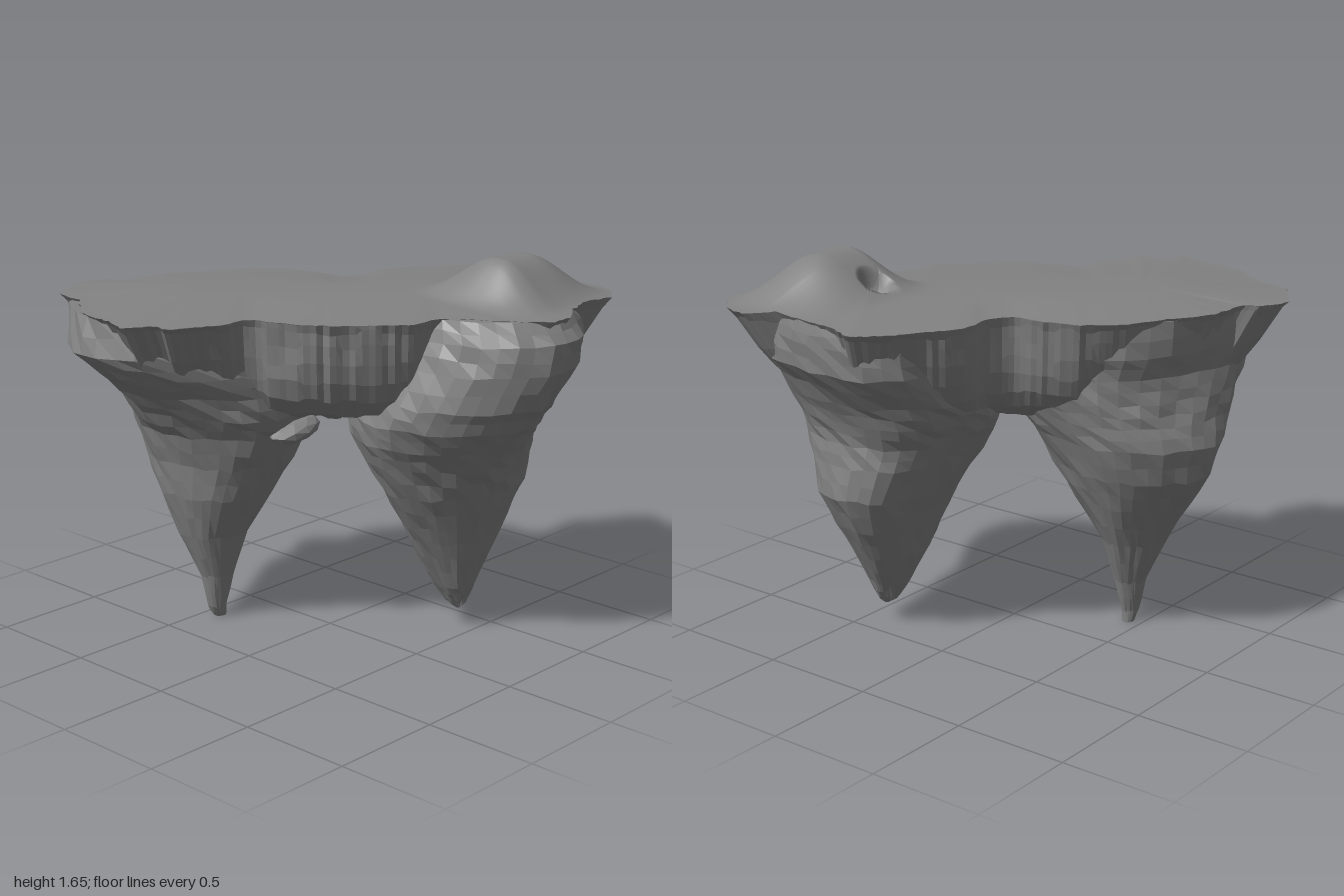
import * as THREE from 'three';

const RIM = [
  [-0.54, -1], [-0.41, -0.96], [-0.36, -0.88], [-0.17, -0.87], [0, -0.76], [0.17, -0.68], [0.29, -0.54],
  [0.33, -0.4], [0.35, -0.25], [0.45, -0.2], [0.59, -0.22], [0.72, -0.15], [0.85, -0.07], [0.96, 0.06],
  [0.91, 0.2], [0.89, 0.42], [0.88, 0.53], [0.96, 0.64], [0.92, 0.76], [0.82, 0.85], [0.67, 0.84],
  [0.5, 0.88], [0.4, 0.95], [0.29, 0.95], [0.2, 0.85], [0.1, 0.7], [0.01, 0.58], [-0.14, 0.57],
  [-0.22, 0.49], [-0.36, 0.37], [-0.47, 0.2], [-0.53, 0.03], [-0.65, 0.03], [-0.84, -0.06],
  [-0.86, -0.16], [-0.96, -0.22], [-0.92, -0.35], [-0.9, -0.53], [-0.75, -0.73], [-0.73, -0.87], [-0.63, -0.94],
];

// Cross-section extents, top to bottom: [y, xMin, xMax, zMin, zMax]
const BACK_ROOT = [
  [1.45, -0.88, 0.24, -0.87, -0.02], [1.3, -0.91, 0.24, -0.86, 0], [1.2, -0.82, 0.22, -0.82, 0.03],
  [1.1, -0.7, 0.2, -0.83, 0.04], [1, -0.62, 0.17, -0.84, 0.03], [0.9, -0.55, 0.13, -0.86, -0.03],
  [0.75, -0.5, 0.07, -0.82, -0.11], [0.6, -0.48, 0, -0.72, -0.2], [0.4, -0.42, -0.1, -0.6, -0.31],
  [0.2, -0.34, -0.18, -0.5, -0.37], [0.05, -0.31, -0.22, -0.47, -0.4], [0, -0.28, -0.22, -0.46, -0.41],
];
const FRONT_ROOT = [
  [1.46, 0.06, 0.88, -0.1, 0.91], [1.37, 0.01, 0.89, -0.1, 0.98], [1.25, -0.03, 0.88, -0.1, 0.97],
  [1.1, -0.1, 0.78, -0.11, 0.91], [1, -0.12, 0.74, -0.09, 0.83], [0.9, -0.09, 0.71, -0.04, 0.76],
  [0.8, -0.04, 0.72, 0.01, 0.7], [0.66, 0.03, 0.73, 0.09, 0.64], [0.5, 0.12, 0.65, 0.16, 0.58],
  [0.35, 0.2, 0.56, 0.22, 0.53], [0.2, 0.28, 0.47, 0.3, 0.48], [0.12, 0.33, 0.43, 0.35, 0.45],
  [0.08, 0.37, 0.39, 0.4, 0.42],
];

const { lerp, smoothstep } = THREE.MathUtils;
const hash = (a, b) => {
  const s = Math.sin(a * 127.1 + b * 311.7) * 43758.5453;
  return (s - Math.floor(s)) * 2 - 1;
};

// Joins closed rings of points into a surface
function skin(rings) {
  const n = rings[0].length, index = [];
  for (let i = 0; i < rings.length - 1; i++) {
    for (let j = 0; j < n; j++) {
      const a = i * n + j, b = i * n + (j + 1) % n, c = b + n, d = a + n;
      index.push(a, b, d, b, c, d);
    }
  }
  const g = new THREE.BufferGeometry().setFromPoints(rings.flat());
  g.setIndex(index);
  g.computeVertexNormals();
  return g;
}

// Rim resampled with a ragged edge; each point knows its foot on the island's spine
// and how strongly it belongs to the bridge between the lobes
function rimPoints() {
  const curve = new THREE.CatmullRomCurve3(RIM.map(([x, z]) => new THREE.Vector3(x, 0, z)), true, 'catmullrom', 0.3);
  const spine = new THREE.Line3(new THREE.Vector3(-0.28, 0, -0.45), new THREE.Vector3(0.42, 0, 0.38));
  return curve.getSpacedPoints(240).slice(0, -1).map((p, j) => {
    const t = spine.closestPointToPointParameter(p, true);
    const foot = spine.at(t, new THREE.Vector3());
    const edge = foot.clone().lerp(p, 1 + 0.015 * hash(j, 3));
    const strength = p.x > foot.x ? 0.65 : 1;
    return { foot, edge, bridge: strength * smoothstep(t, 0, 0.35) * (1 - smoothstep(t, 0.65, 1)) };
  });
}

// One rounded hill with a small hollow on its back slope
function hillHeight(x, z) {
  const across = smoothstep(x, 0.19, 0.42) * (1 - smoothstep(x, 0.57, 0.93));
  const along = smoothstep(z, 0.2, 0.56) * (1 - smoothstep(z, 0.59, 0.89));
  const hollow = 1 - smoothstep(Math.hypot(x - 0.48, (z - 0.35) * 1.1), 0.05, 0.075);
  return 0.16 * across * along - 0.08 * hollow;
}

function topGeometry(rim) {
  const rings = [];
  for (let i = 0; i <= 36; i++) {
    const s = i / 36;
    rings.push(rim.map(({ foot, edge }) => {
      const p = foot.clone().lerp(edge, s);
      p.y = lerp(1.49, 1.46, smoothstep(s, 0.1, 1.2)) + hillHeight(p.x, p.z);
      return p;
    }));
  }
  return skin(rings);
}

// Underside: steep beneath the bridge, sloping quickly into the roots beneath the two lobes
function undersideGeometry(rim) {
  const profile = [
    [1, 1, 1.461], [0.95, 0.985, 1.43], [0.89, 0.97, 1.37], [0.81, 0.95, 1.29], [0.71, 0.92, 1.21],
    [0.58, 0.86, 1.13], [0.42, 0.72, 1.05], [0.25, 0.4, 0.99], [0, 0, 0.95],
  ];
  return skin(profile.map(([lobe, bridge, y], i) => rim.map((r, j) => {
    const rough = i && i < 8 ? 0.014 * hash(Math.floor(j / 3), i) : 0;
    const p = r.foot.clone().lerp(r.edge, lerp(lobe, bridge, r.bridge) + rough);
    p.y = i ? y + rough : y + hillHeight(p.x, p.z);
    return p;
  })));
}

// Tapering rock root through the cross-sections, closed at both ends; lean skews its upper part
function rootGeometry(table, seed, lean) {
  const sides = 36, rows = [];
  table.forEach((row, i) => {
    rows.push(row);
    const next = table[i + 1];
    if (next) rows.push(row.map((v, k) => (v + next[k]) / 2));
  });
  const rings = rows.map(([y, x0, x1, z0, z1], i) => Array.from({ length: sides }, (_, j) => {
    const a = j / sides * Math.PI * 2;
    const r = 1 + 0.018 * hash(j, i + seed) + 0.02 * Math.sin(a * 5 + y * 3 + seed);
    return new THREE.Vector3(
      (x0 + x1) / 2 + Math.cos(a) * r * (x1 - x0) / 2 + lean * Math.sin(a) * smoothstep(y, 0.8, 1.3),
      i === 0 || i === rows.length - 1 ? y : y + 0.008 * hash(j + 50, i + seed),
      (z0 + z1) / 2 + Math.sin(a) * r * (z1 - z0) / 2);
  }));
  const flat = ([y, x0, x1, z0, z1]) => Array.from({ length: sides },
    () => new THREE.Vector3((x0 + x1) / 2, y, (z0 + z1) / 2));
  return skin([flat(rows[0]), ...rings, flat(rows[rows.length - 1])]);
}

export function createModel() {
  const group = new THREE.Group();
  const smooth = new THREE.MeshStandardMaterial({ color: 0x828282 });
  const rock = new THREE.MeshStandardMaterial({ color: 0x828282, flatShading: true });
  const add = (name, geometry, material) => {
    const mesh = new THREE.Mesh(geometry, material);
    mesh.name = name;
    group.add(mesh);
    return mesh;
  };
  const rim = rimPoints();
  add('groundTop', topGeometry(rim), smooth);
  add('cliffUnderside', undersideGeometry(rim), rock);
  add('backRoot', rootGeometry(BACK_ROOT, 1, 0.1), rock);
  add('frontRoot', rootGeometry(FRONT_ROOT, 40, -0.12), rock);

  // Small rock ledge under the bridge
  const ledge = add('hangingLedge', new THREE.IcosahedronGeometry(1, 1), rock);
  ledge.scale.set(0.13, 0.05, 0.09);
  ledge.position.set(-0.2, 0.93, -0.02);
  ledge.rotation.z = 0.15;
  return group;
}
